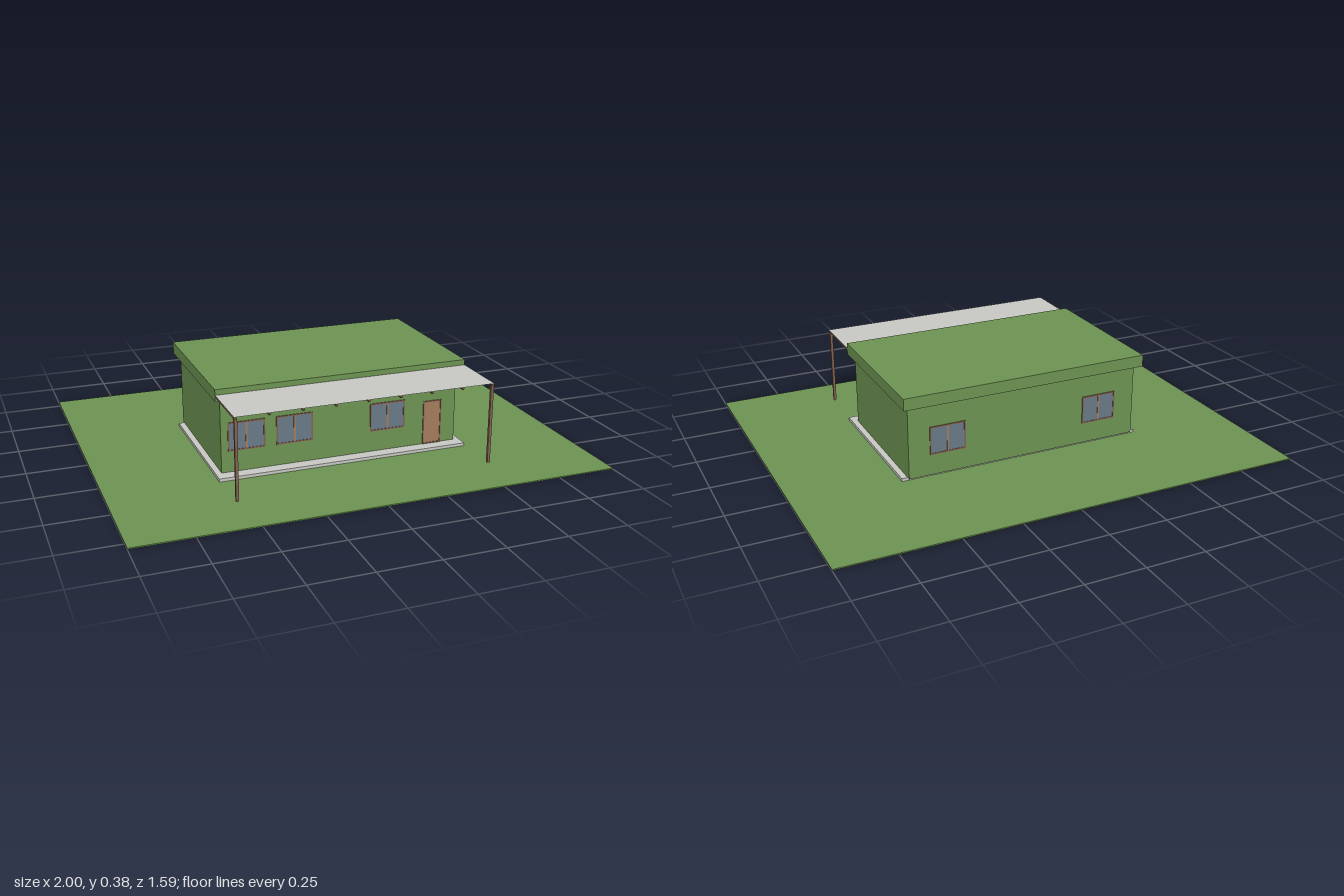
import * as THREE from 'three';

const mat = (name, color, side = THREE.FrontSide) => {
  const m = new THREE.MeshStandardMaterial({ color, side });
  m.name = name;
  return m;
};

export function createModel() {
  const green = mat('green', 0x6d9452);
  const concrete = mat('concrete', 0xc8c8c4, THREE.DoubleSide);
  const timber = mat('timber', 0x84614f);
  const doorWood = mat('door wood', 0xa47c5c);
  const glass = mat('glass', 0x697a88);

  const model = new THREE.Group();
  model.name = 'house';

  // Box given by its low and high limits on each axis
  const box = (name, material, [x0, x1], [y0, y1], [z0, z1], parent = model) => {
    const mesh = new THREE.Mesh(new THREE.BoxGeometry(x1 - x0, y1 - y0, z1 - z0), material);
    mesh.position.set((x0 + x1) / 2, (y0 + y1) / 2, (z0 + z1) / 2);
    mesh.name = name;
    parent.add(mesh);
    return mesh;
  };

  // Lawn, slab, walls and flat roof
  box('lawn', green, [-1, 1], [0, 0.005], [-0.795, 0.795]);
  box('slab', concrete, [-0.543, 0.543], [0.005, 0.018], [-0.29, 0.366]);
  box('walls', green, [-0.518, 0.518], [0.018, 0.333], [-0.308, 0.312]);
  box('roof', green, [-0.543, 0.543], [0.333, 0.384], [-0.337, 0.338]);

  // Rectangular frame with an opening
  const frameGeometry = (w, h, t, depth) => {
    const rect = (Type, a, b) => new Type([
      new THREE.Vector2(-a, -b), new THREE.Vector2(a, -b),
      new THREE.Vector2(a, b), new THREE.Vector2(-a, b),
    ]);
    const shape = rect(THREE.Shape, w / 2, h / 2);
    shape.holes.push(rect(THREE.Path, w / 2 - t, h / 2 - t));
    return new THREE.ExtrudeGeometry(shape, { depth, bevelEnabled: false });
  };

  // Two-pane windows, front and back
  const W = 0.156, H = 0.122, T = 0.006;
  const addWindow = (name, x, z, back) => {
    const group = new THREE.Group();
    group.name = name;
    group.position.set(x, 0.169, z);
    if (back) group.rotation.y = Math.PI;
    const frame = new THREE.Mesh(frameGeometry(W, H, T, 0.004), timber);
    frame.name = 'windowFrame';
    group.add(frame);
    box('windowGlass', glass, [-W / 2 + T, W / 2 - T], [-H / 2 + T, H / 2 - T], [0, 0.002], group);
    box('mullion', doorWood, [-0.004, 0.004], [-H / 2 + T, H / 2 - T], [0.001, 0.004], group);
    model.add(group);
  };
  [-0.411, -0.207, 0.204].forEach((x) => addWindow('frontWindow', x, 0.312, false));
  [-0.348, 0.348].forEach((x) => addWindow('backWindow', x, -0.308, true));

  // Door with a thin frame
  box('door', doorWood, [0.375, 0.448], [0.018, 0.205], [0.312, 0.314]);
  const doorFrame = new THREE.Mesh(frameGeometry(0.084, 0.192, 0.005, 0.004), timber);
  doorFrame.position.set(0.4115, 0.114, 0.312);
  doorFrame.name = 'doorFrame';
  model.add(doorFrame);

  // Porch canopy: sheet, rafters and two posts
  const sheet = new THREE.Mesh(new THREE.PlaneGeometry(1.086, 0.257), concrete);
  sheet.rotation.x = -Math.PI / 2;
  sheet.position.set(0, 0.361, 0.4665);
  sheet.name = 'canopySheet';
  model.add(sheet);
  for (let i = -4; i <= 4; i++) {
    const x = i * 0.1345;
    box('rafter', timber, [x - 0.004, x + 0.004], [0.351, 0.36], [0.338, 0.594]);
  }
  for (const x of [-0.536, 0.536]) {
    box('post', timber, [x - 0.006, x + 0.006], [0.018, 0.352], [0.582, 0.593]);
  }
  return model;
}
